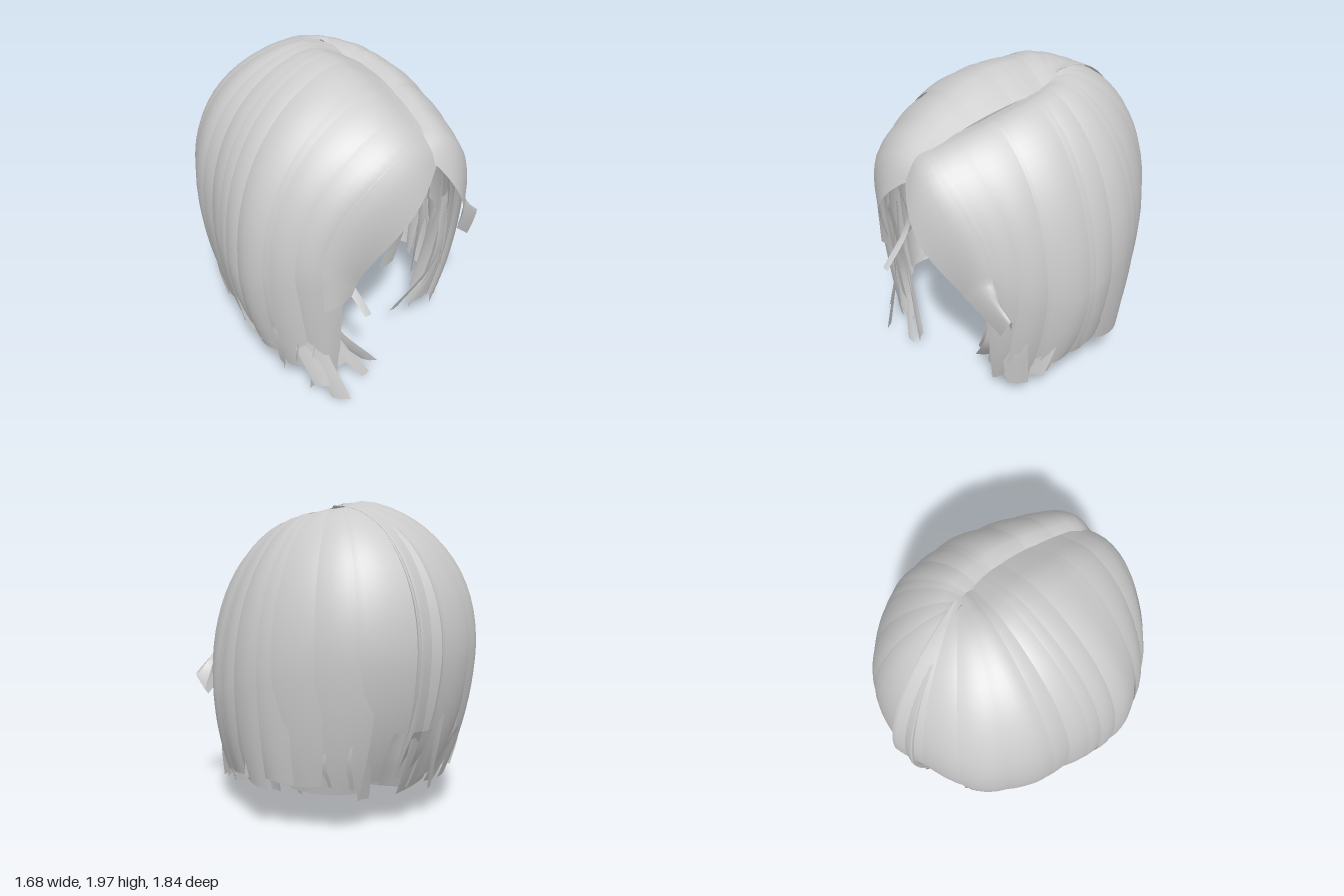
import * as THREE from 'three';

const V = (x, y, z) => new THREE.Vector3(x, y, z);
const material = new THREE.MeshStandardMaterial({ color: 0xcccccc, side: THREE.DoubleSide });

let seed = 7;
const rand = (a, b) => {
  seed = (seed * 16807) % 2147483647;
  return a + (b - a) * (seed / 2147483647);
};

// Guide rows from front to back: root on the parting, widest point, tip, roundness
const RIGHT = [
  [.08, 1.52, .84, -.40, .85, .74, -.51, .74, .70, 1.25],
  [.09, 1.69, .75, -.60, .95, .66, -.52, .14, .60, 1.9],
  [.12, 1.84, .55, -.74, .90, .50, -.66, .26, .50, 2.1],
  [.16, 1.95, .30, -.83, .85, .28, -.72, .29, .30, 2.3],
  [.18, 2.00, .08, -.84, .85, .08, -.72, .30, .08, 2.35],
  [.17, 2.0, -.05, -.79, .95, -.15, -.66, .30, -.15, 2.35],
  [.16, 2.0, -.12, -.71, 1.05, -.42, -.58, .30, -.38, 2.3],
  [.15, 1.98, -.17, -.48, 1.1, -.75, -.40, .28, -.56, 2.1],
  [.15, 1.95, -.20, .02, 1.1, -.92, .0, .27, -.64, 2.1],
];
const LEFT = [
  [.09, 1.53, .84, .45, .88, .74, .68, .69, .65, 1.1],
  [.10, 1.68, .75, .58, 1.02, .66, .75, .82, .62, 1.6],
  [.12, 1.76, .58, .67, .90, .53, .52, .20, .50, 1.9],
  [.16, 1.84, .35, .76, .85, .34, .65, .18, .36, 2],
  [.18, 1.90, .12, .82, .80, .10, .72, .28, .10, 2],
  [.17, 1.93, -.04, .79, .90, -.15, .70, .30, -.15, 2],
  [.16, 1.94, -.12, .68, 1.0, -.42, .59, .30, -.38, 2],
  [.155, 1.95, -.17, .36, 1.1, -.77, .32, .28, -.57, 2.1],
  [.15, 1.95, -.20, -.14, 1.1, -.92, -.10, .27, -.64, 2.1],
];

function makeSide(rows, sign) {
  const curve = (k) => new THREE.CatmullRomCurve3(rows.map((r) => V(r[k], r[k + 1], r[k + 2])), false, 'catmullrom');
  const [root, wide, tip] = [curve(0), curve(3), curve(6)];
  const at = (c, u) => c.getPoint(THREE.MathUtils.clamp(u, 0, 8) / 8);
  const round = (u) => {
    const i = Math.min(7, Math.floor(u));
    return THREE.MathUtils.lerp(rows[i][9], rows[i + 1][9], u - i);
  };
  return { sign, root: (u) => at(root, u), wide: (u) => at(wide, u), tip: (u) => at(tip, u), round };
}

// Sheet of quads from a rule f(v, t), v in -1..1 across and t in 0..1 along
function sheet(name, f, nv, nt, flip) {
  const pos = [], index = [];
  for (let i = 0; i <= nt; i++) {
    for (let j = 0; j <= nv; j++) pos.push(...f((j / nv) * 2 - 1, i / nt).toArray());
  }
  for (let i = 0; i < nt; i++) {
    for (let j = 0; j < nv; j++) {
      const a = i * (nv + 1) + j, b = a + nv + 1;
      if (flip) index.push(a, a + 1, b, a + 1, b + 1, b);
      else index.push(a, b, a + 1, a + 1, b, b + 1);
    }
  }
  const g = new THREE.BufferGeometry();
  g.setAttribute('position', new THREE.Float32BufferAttribute(pos, 3));
  g.setIndex(index);
  g.computeVertexNormals();
  const mesh = new THREE.Mesh(g, material);
  mesh.name = name;
  return mesh;
}

// Wide strand from the parting, over the crown, down to a ragged tip
function strand(name, side, uc, half, layer, tipU, tipShift, bang = false) {
  const centre = side.wide(uc);
  const end = side.tip(tipU).add(tipShift);
  const slant = rand(-.03, .03);
  const tilt = rand(-.014, .014);
  const f = (v, t) => {
    const u = THREE.MathUtils.clamp(uc + v * half, 0, 8);
    const P = side.root(u), E = side.wide(u), n = side.round(u);
    P.x -= side.sign * .02; // both halves overlap at the parting
    let p;
    if (t <= .62) {
      const th = (t / .62) * Math.PI / 2;
      const s = Math.sin(th) ** (2 / n), c = Math.max(0, Math.cos(th)) ** (2 / n);
      p = V(P.x + (E.x - P.x) * s, E.y + (P.y - E.y) * c, P.z + (E.z - P.z) * s);
      p.z += .12 * Math.max(0, 1 - u / 3) * Math.sin(Math.PI * s);
      // groove along the parting
      p.y -= (side.sign < 0 ? .14 : .08) * Math.sin(Math.PI * u / 8) * Math.exp(-((s / .15) ** 2));
    } else {
      const k = (t - .62) / .38;
      const B = bang ? side.tip(u) : E.clone().sub(centre).multiplyScalar(.8).add(end);
      if (!bang) B.y = end.y + slant * v;
      const M = E.clone().lerp(B, bang ? .5 : Math.max(.1, .6 - .25 * tipU));
      if (!bang) M.y = (E.y + B.y) / 2;
      p = E.clone().multiplyScalar((1 - k) ** 2).addScaledVector(M, 2 * k * (1 - k)).addScaledVector(B, k * k);
    }
    const out = p.clone().sub(V(0, .9, 0)).normalize();
    return p.addScaledVector(out, (layer + tilt * v + .015 * (1 - v * v)) * Math.min(1, .2 + 2 * t));
  };
  return sheet(name, f, 6, 26, side.sign < 0);
}

// Narrow loose lock along a short path, slightly bowed and twisting
function lock(name, points, width, across, twist) {
  const path = new THREE.CatmullRomCurve3(points);
  const f = (v, t) => {
    const dir = across.clone().applyAxisAngle(V(0, 1, 0), twist * t);
    const bow = V(dir.z, 0, -dir.x).multiplyScalar(-.15 * width * (1 - v * v));
    return path.getPoint(t).addScaledVector(dir, v * width * (.6 + .4 * Math.sin(Math.PI * (.2 + .6 * t)))).add(bow);
  };
  return sheet(name, f, 2, 10, false);
}

export function createModel() {
  const model = new THREE.Group();
  model.name = 'bobHair';
  const sides = [makeSide(RIGHT, -1), makeSide(LEFT, 1)];

  for (const side of sides) {
    const label = side.sign < 0 ? 'right' : 'left';
    const first = side.sign < 0 ? 1 : 2; // first row that reaches the hem
    const start = side.sign < 0 ? .8 : 1.4;
    const group = new THREE.Group();
    group.name = label + 'Hair';
    // Outer layer of overlapping strands
    for (let i = 0; i < 13; i++) {
      const uc = start + i * (7.8 - start) / 12;
      group.add(strand(label + 'Strand', side, uc, rand(.42, .55), rand(-.022, .004), Math.max(uc, first),
        V(rand(-.02, .02), rand(-.05, .06), rand(-.02, .02))));
    }
    // Under layer closing the gaps
    for (let i = 0; i < 9; i++) {
      const uc = start + .15 + i * (7.7 - start) / 8;
      group.add(strand(label + 'UnderStrand', side, uc, .55, -.04, Math.max(uc, first), V(0, rand(-.04, .06), 0)));
    }
    // Fringe swept off the parting
    const span = side.sign < 0 ? .5 : .6;
    group.add(strand(label + 'Fringe', side, span, span, .005, 0, V(0, 0, 0), side.sign > 0));
    // Loose ends below the hem
    for (let i = 0; i < 18; i++) {
      const u = first + .2 + i * (7.7 - first) / 17;
      const E = side.wide(u), B = side.tip(u);
      const top = E.clone().multiplyScalar(.93).setY(rand(.6, .8));
      const end = B.clone().multiplyScalar(rand(.85, 1.06)).setY(B.y + rand(-.08, .04));
      const mid = top.clone().lerp(end, .5).multiplyScalar(1.02);
      const across = V(-E.z, 0, E.x).normalize();
      end.addScaledVector(across, rand(-.06, .06));
      group.add(lock(label + 'LooseEnd', [top, mid, end], rand(.03, .06), across, rand(-.9, .9)));
    }
    model.add(group);
  }

  // Face-framing locks: root, middle, tip, width
  const frames = [
    [-.58, .95, .60, -.50, .50, .56, -.20, .09, .66, .06],
    [-.62, .95, .58, -.54, .50, .56, -.27, .04, .70, .04],
    [-.66, .95, .56, -.62, .45, .57, -.51, .01, .74, .07],
    [-.55, .95, .62, -.55, .50, .56, -.40, .18, .64, .09],
    [-.66, .90, .50, -.66, .50, .52, -.60, .12, .66, .06],
    [-.42, 1.2, .62, -.40, .90, .58, -.36, .64, .80, .03],
    [-.34, 1.25, .45, -.36, .90, .42, -.36, .66, .45, .05],
    [-.45, .90, .30, -.34, .75, .30, -.27, .47, .30, .09],
    [.56, .95, .55, .46, .50, .56, .22, .16, .45, .05],
    [.58, .90, .53, .50, .48, .56, .30, .20, .50, .06],
    [.60, .95, .50, .54, .50, .54, .42, .18, .50, .08],
    [.62, .95, .48, .62, .50, .50, .60, .15, .46, .08],
    [.50, .95, .35, .42, .70, .30, .33, .37, .25, .08],
    [.40, 1.0, .50, .42, .88, .50, .43, .74, .52, .04],
  ];
  frames.forEach((f, i) => {
    const pts = [0, 3, 6].map((k) => V(f[k], f[k + 1], f[k + 2]));
    model.add(lock('faceLock', pts, f[9], V(.9, 0, f[0] < 0 ? .4 : -.4).normalize(), i % 2 ? .5 : -.4));
  });
  return model;
}
